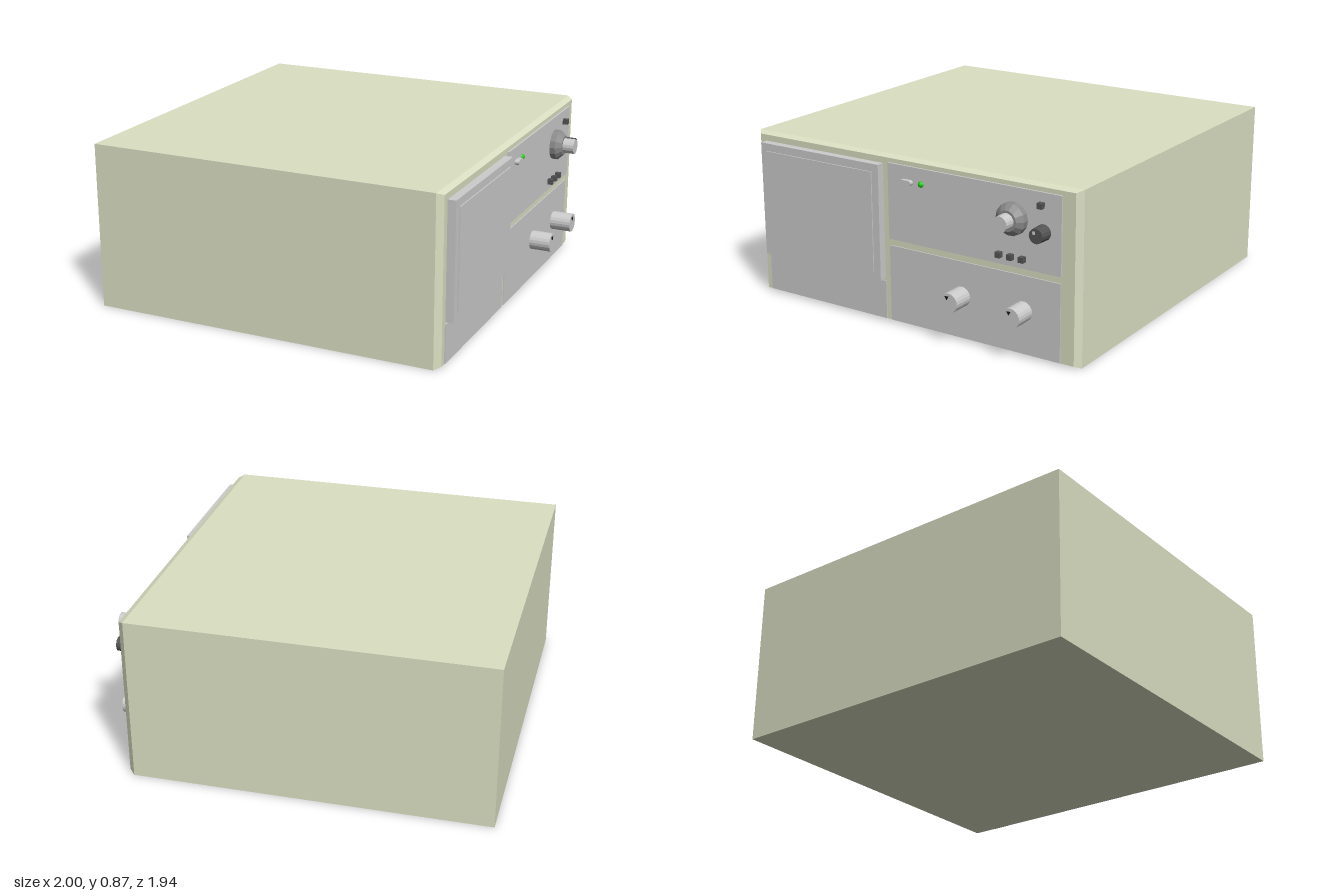
import * as THREE from 'three';

const mat = (color, flatShading = true) => new THREE.MeshStandardMaterial({ color, flatShading });
const grey = mat(0xcccccc), cream = mat(0xdbe0c3), dark = mat(0x555555), mid = mat(0x8c8c8c);
const black = mat(0x181818), green = mat(0x22cc11, false);
const FRONT = 0.87; // x of the control face

export function createModel() {
  const model = new THREE.Group();

  function add(name, geometry, material, x, y, z, parent = model) {
    const mesh = new THREE.Mesh(geometry, material);
    mesh.name = name;
    mesh.position.set(x, y, z);
    parent.add(mesh);
    return mesh;
  }

  // Box given by its ranges in x, y and z
  function slab(name, material, x0, x1, y0, y1, z0, z1) {
    return add(name, new THREE.BoxGeometry(x1 - x0, y1 - y0, z1 - z0), material,
      (x0 + x1) / 2, (y0 + y1) / 2, (z0 + z1) / 2);
  }

  // Disc or cone section pointing out of the control face
  function turned(name, material, rIn, rOut, x0, x1, y, z, sides = 16, parent = model) {
    const g = new THREE.CylinderGeometry(rOut, rIn, x1 - x0, sides).rotateZ(-Math.PI / 2);
    return add(name, g, material, (x0 + x1) / 2, y, z, parent);
  }

  // Small dark triangle on the end of a knob
  function pointer(x, y, z, parent) {
    const g = new THREE.CylinderGeometry(0.012, 0.012, 0.006, 3).rotateX(Math.PI).rotateZ(-Math.PI / 2);
    g.rotateX(Math.PI / 6);
    add('knobPointer', g, black, x, y, z, parent);
  }

  // Case, chamfered around the control face
  const caseGeo = new THREE.BoxGeometry(2, 0.87, 1.94, 2, 1, 1);
  const p = caseGeo.attributes.position;
  for (let i = 0; i < p.count; i++) {
    const x = p.getX(i);
    if (x > 0.5) p.setXYZ(i, FRONT, p.getY(i) * 0.97, p.getZ(i) * 0.972);
    else if (x > -0.5) p.setX(i, 0.84);
  }
  caseGeo.computeVertexNormals();
  add('case', caseGeo, cream, 0, 0.435, 0);

  // Panels and raised screen
  slab('upperControlPanel', grey, 0.86, 0.88, 0.445, 0.835, -0.875, 0.115);
  slab('lowerControlPanel', grey, 0.86, 0.876, 0.015, 0.41, -0.87, 0.115);
  slab('lowerBlankPanel', grey, 0.86, 0.876, 0.015, 0.215, 0.145, 0.91);
  slab('screenFrame', grey, 0.86, 0.912, 0.225, 0.825, 0.15, 0.905);
  slab('screen', grey, 0.91, 0.918, 0.265, 0.785, 0.19, 0.865);

  // Large tuning dial
  const dial = new THREE.Group();
  dial.name = 'tuningDial';
  model.add(dial);
  turned('dialSkirt', mid, 0.08, 0.08, 0.87, 0.91, 0.685, -0.615, 14, dial);
  turned('dialTaper', mid, 0.08, 0.052, 0.91, 0.94, 0.685, -0.615, 14, dial);
  turned('dialGrip', grey, 0.04, 0.04, 0.935, 1.0, 0.685, -0.615, 16, dial);

  // Small dark knob
  const small = new THREE.Group();
  small.name = 'smallKnob';
  model.add(small);
  turned('smallKnobBody', dark, 0.04, 0.037, 0.87, 0.95, 0.645, -0.78, 14, small);
  add('smallKnobPointer', new THREE.BoxGeometry(0.006, 0.014, 0.014), grey, 0.951, 0.66, -0.77, small);

  // Two matching lower knobs
  for (const z of [-0.315, -0.667]) {
    const knob = new THREE.Group();
    knob.name = 'lowerKnob';
    model.add(knob);
    turned('lowerKnobBody', grey, 0.05, 0.05, 0.87, 0.988, 0.232, z, 20, knob);
    pointer(0.989, 0.26, z + 0.008, knob);
  }

  // Square push buttons
  for (const [y, z] of [[0.775, -0.77], [0.495, -0.54], [0.495, -0.605], [0.495, -0.67]]) {
    slab('pushButton', dark, 0.87, 0.907, y - 0.014, y + 0.014, z - 0.014, z + 0.014);
  }

  // Pill-shaped power switch and its lamp
  const pill = new THREE.Shape();
  pill.absarc(0.02, 0, 0.013, -Math.PI / 2, Math.PI / 2);
  pill.absarc(-0.02, 0, 0.013, Math.PI / 2, Math.PI * 1.5);
  const pillGeo = new THREE.ExtrudeGeometry(pill, { depth: 0.03, bevelEnabled: false, curveSegments: 6 });
  add('powerSwitch', pillGeo.rotateY(Math.PI / 2), grey, 0.873, 0.757, -0.005);
  add('powerLamp', new THREE.SphereGeometry(0.016, 16, 10), green, 0.878, 0.757, -0.085);

  return model;
}
